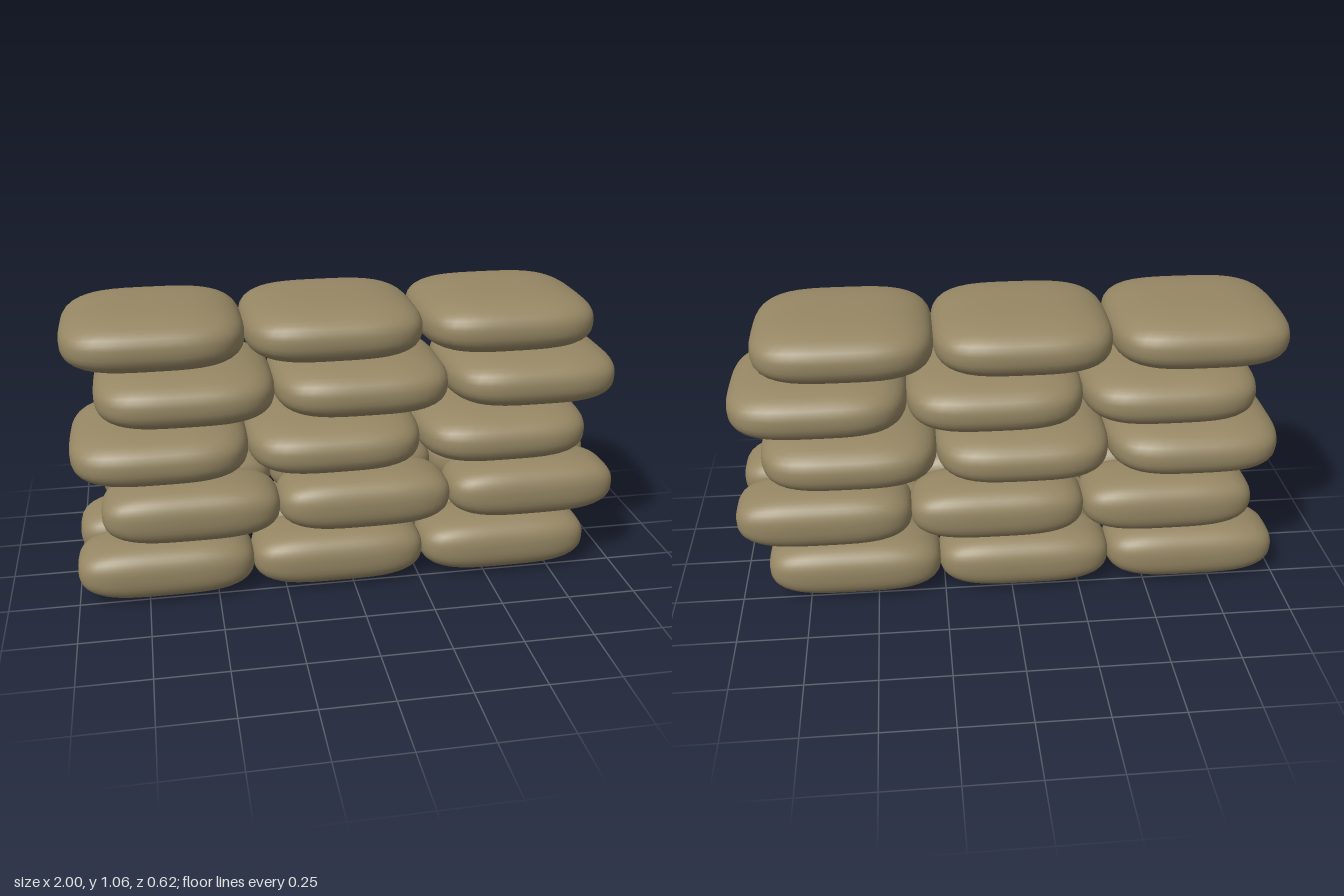
import * as THREE from 'three';
import { mergeVertices } from 'three/addons/utils/BufferGeometryUtils.js';

// Pillow shape: squarish outline seen from above, softer rounding in height
function pillow(halfX, halfY, halfZ) {
  const outline = 3.6, rounding = 2.7;
  let geo = new THREE.BoxGeometry(2, 2, 2, 12, 12, 12);
  geo.deleteAttribute('uv');
  geo.deleteAttribute('normal');
  geo = mergeVertices(geo);
  const pos = geo.attributes.position;
  const v = new THREE.Vector3();
  for (let i = 0; i < pos.count; i++) {
    v.fromBufferAttribute(pos, i);
    const ring = Math.pow(Math.abs(v.x) ** outline + Math.abs(v.z) ** outline, 1 / outline);
    const size = Math.pow(ring ** rounding + Math.abs(v.y) ** rounding, 1 / rounding);
    v.divideScalar(size);
    pos.setXYZ(i, v.x * halfX, v.y * halfY, v.z * halfZ);
  }
  geo.computeVertexNormals();
  return geo;
}

export function createModel() {
  const wall = new THREE.Group();
  wall.name = 'sandbagWall';

  const burlap = new THREE.MeshStandardMaterial({ color: 0x968764 });
  burlap.name = 'burlap';

  const wideBag = pillow(0.319, 0.106, 0.307);
  const narrowBag = pillow(0.319, 0.108, 0.156);

  // Two double-depth courses below, three single wide courses above
  const courses = [
    { y: 0.109, geo: narrowBag, depths: [0.155, -0.155] },
    { y: 0.322, geo: narrowBag, depths: [0.155, -0.155] },
    { y: 0.531, geo: wideBag, depths: [0] },
    { y: 0.741, geo: wideBag, depths: [0] },
    { y: 0.951, geo: wideBag, depths: [0] },
  ];

  courses.forEach(({ y, geo, depths }, row) => {
    const course = new THREE.Group();
    course.name = `course${row + 1}`;
    // Alternate courses are staggered sideways
    const shift = row % 2 ? 0.05 : -0.05;
    for (const z of depths) {
      for (let i = -1; i <= 1; i++) {
        const bag = new THREE.Mesh(geo, burlap);
        bag.name = 'sandbag';
        bag.position.set(shift + i * 0.631, y, z);
        course.add(bag);
      }
    }
    wall.add(course);
  });

  return wall;
}
